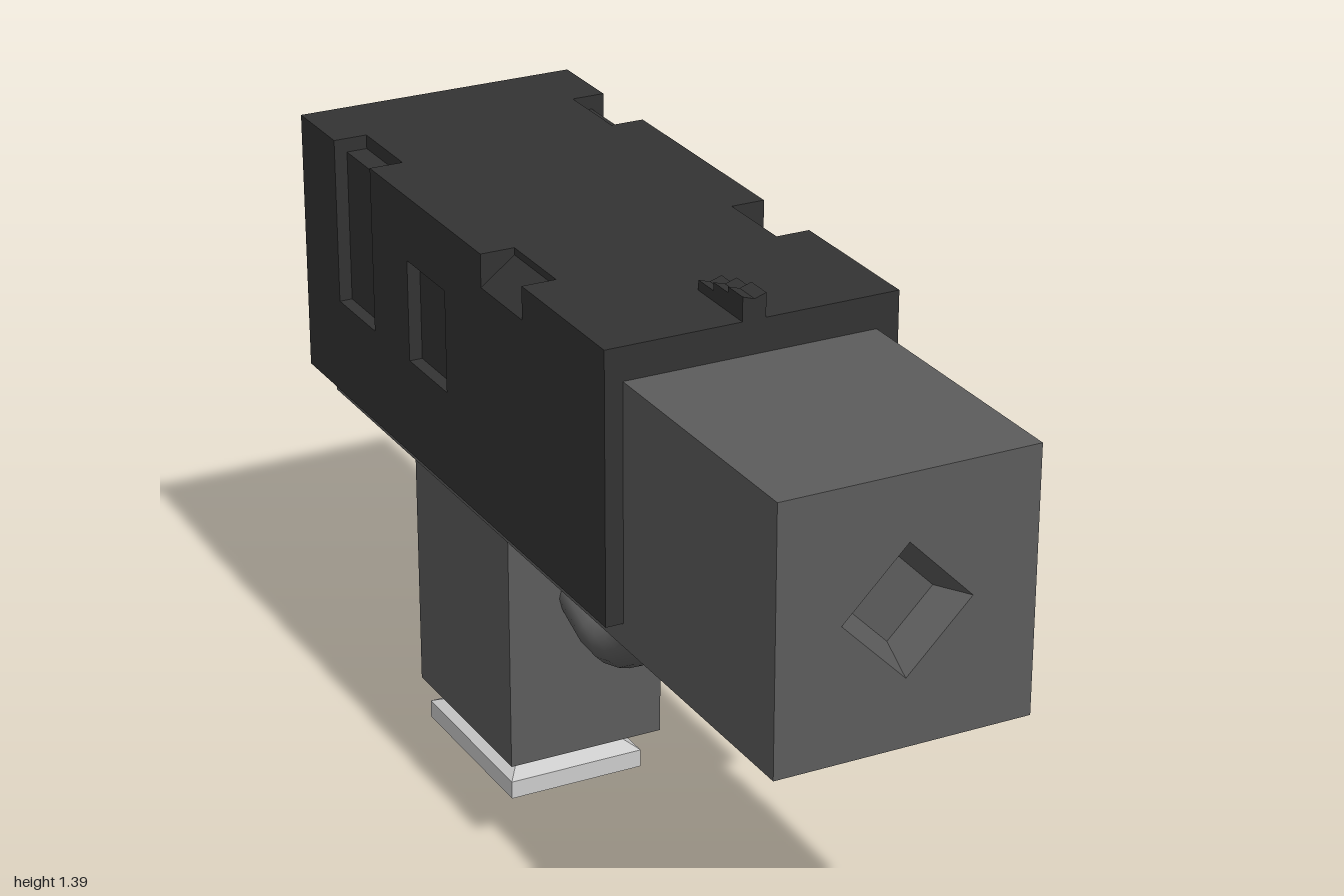
import * as THREE from 'three';

const mat = (color) => new THREE.MeshStandardMaterial({ color, flatShading: true });
const frameMat = mat(0x5c5c5c), slideMat = mat(0x333333), baseMat = mat(0xcccccc);

const shapeOf = (pts) => new THREE.Shape(pts.map(([x, y]) => new THREE.Vector2(x, y)));

// Extrude an x/y outline between two z positions
function prism(pts, z0, z1) {
  const g = new THREE.ExtrudeGeometry(shapeOf(pts), { depth: z1 - z0, bevelEnabled: false });
  return g.translate(0, 0, z0);
}

function add(parent, name, geometry, material) {
  const m = new THREE.Mesh(geometry, material);
  m.name = name;
  parent.add(m);
  return m;
}

// Box given by its limits
function block(x0, x1, y0, y1, z0, z1) {
  return new THREE.BoxGeometry(x1 - x0, y1 - y0, z1 - z0)
    .translate((x0 + x1) / 2, (y0 + y1) / 2, (z0 + z1) / 2);
}

// Four-sided ring of walls between rectangle or diamond loops, with an end cap
function loft(loops) {
  const pos = [], tri = (a, b, c) => pos.push(...a, ...b, ...c);
  for (let k = 0; k + 1 < loops.length; k++) {
    const a = loops[k], b = loops[k + 1];
    for (let i = 0; i < 4; i++) {
      const j = (i + 1) % 4;
      tri(a[i], a[j], b[j]);
      tri(a[i], b[j], b[i]);
    }
  }
  const e = loops[loops.length - 1];
  tri(e[0], e[1], e[2]);
  tri(e[0], e[2], e[3]);
  const g = new THREE.BufferGeometry();
  g.setAttribute('position', new THREE.Float32BufferAttribute(pos, 3));
  g.computeVertexNormals();
  return g;
}

export function createModel() {
  const model = new THREE.Group();

  // Frame with a tapered diamond recess in the muzzle
  const frame = new THREE.Group();
  frame.name = 'frame';
  model.add(frame);
  const diamond = (r, z) => [[r, 0], [0, r], [-r, 0], [0, -r]].map(([x, y]) => [x - 0.005, y + 0.998, z]);
  const depth = 0.07;
  add(frame, 'frameBody', block(-0.275, 0.265, 0.72, 1.27, -0.95, 1 - depth), frameMat);
  const nose = shapeOf([[-0.275, 0.72], [0.265, 0.72], [0.265, 1.27], [-0.275, 1.27]]);
  nose.holes.push(new THREE.Path(diamond(0.136, 0).map(([x, y]) => new THREE.Vector2(x, y))));
  add(frame, 'muzzleRim', new THREE.ExtrudeGeometry(nose, { depth, bevelEnabled: false })
    .translate(0, 0, 1 - depth), frameMat);
  add(frame, 'muzzleRecess', loft([diamond(0.136, 1), diamond(0.093, 1.001 - depth)]), frameMat);

  // Slide: cross-sections, each the right-hand half outline going upward
  const W = 0.313, B = 0.77, T = 1.34;
  const plain = [[W, B], [W, T]];
  const rearNotch = [[W, B], [W, 0.98], [0.285, 0.98], [0.285, 1.31], [0.24, 1.31], [0.24, T]];
  const sideWindow = [[W, B], [W, 0.98], [0.285, 0.98], [0.285, 1.2], [W, 1.2], [W, T]];
  const topNotch = [[W, B], [W, 1.27], [0.24, 1.325], [0.24, T]];
  const slide = new THREE.Group();
  slide.name = 'slide';
  model.add(slide);
  [
    [-1, -0.825, plain], [-0.825, -0.643, rearNotch], [-0.643, -0.468, plain],
    [-0.468, -0.288, sideWindow], [-0.288, -0.115, plain], [-0.115, 0.068, topNotch],
    [0.068, 0.415, plain],
  ].forEach(([z0, z1, half]) => {
    const mirrored = half.map(([x, y]) => [-x, y]).reverse();
    add(slide, 'slideSection', prism([...half, ...mirrored], z0, z1), slideMat);
  });

  // Stepped front sight with a shallow V groove
  const sight = new THREE.Group();
  sight.name = 'frontSight';
  model.add(sight);
  [[0.357, 0.415, 1.39], [0.3, 0.357, 1.378], [0.24, 0.3, 1.361]].forEach(([z0, z1, y]) =>
    add(sight, 'sightStep', prism(
      [[-0.025, 1.33], [0.025, 1.33], [0.025, y], [0, y - 0.008], [-0.025, y]], z0, z1), slideMat));

  // Grip and flared magazine base
  add(model, 'grip', block(-0.182, 0.173, 0.085, 0.73, -0.75, -0.292), frameMat);
  const rect = (x0, x1, z0, z1, y) => [[x0, y, z1], [x1, y, z1], [x1, y, z0], [x0, y, z0]];
  add(model, 'magazineBase', loft([
    rect(-0.176, 0.132, -0.718, -0.305, 0),
    rect(-0.176, 0.132, -0.718, -0.305, 0.04),
    rect(-0.105, 0.061, -0.62, -0.402, 0.086),
  ]), baseMat);
  add(model, 'magazineBottom', new THREE.PlaneGeometry(0.308, 0.413)
    .rotateX(Math.PI / 2).translate(-0.022, 0, -0.5115), baseMat);

  // Trigger guard
  const guardPath = new THREE.CatmullRomCurve3([
    [0.73, 0.035], [0.61, 0.055], [0.52, 0.025], [0.445, -0.055], [0.412, -0.17], [0.465, -0.31],
  ].map(([y, z]) => new THREE.Vector3(-0.018, y, z)));
  const guardMat = frameMat.clone();
  guardMat.flatShading = false;
  add(model, 'triggerGuard', new THREE.TubeGeometry(guardPath, 10, 0.047, 12), guardMat);

  // Trigger: a thin curved blade
  const blade = [[-0.198, 0.73], [-0.175, 0.64], [-0.135, 0.575], [-0.073, 0.52]];
  const back = [[-0.08, 0.535], [-0.143, 0.588], [-0.186, 0.65], [-0.21, 0.73]].reverse();
  const bladeShape = shapeOf([...blade, ...back.reverse()].map(([z, y]) => [-z, y]));
  add(model, 'trigger', new THREE.ExtrudeGeometry(bladeShape, { depth: 0.05, bevelEnabled: false })
    .rotateY(Math.PI / 2).translate(-0.043, 0, 0), slideMat);

  return model;
}
